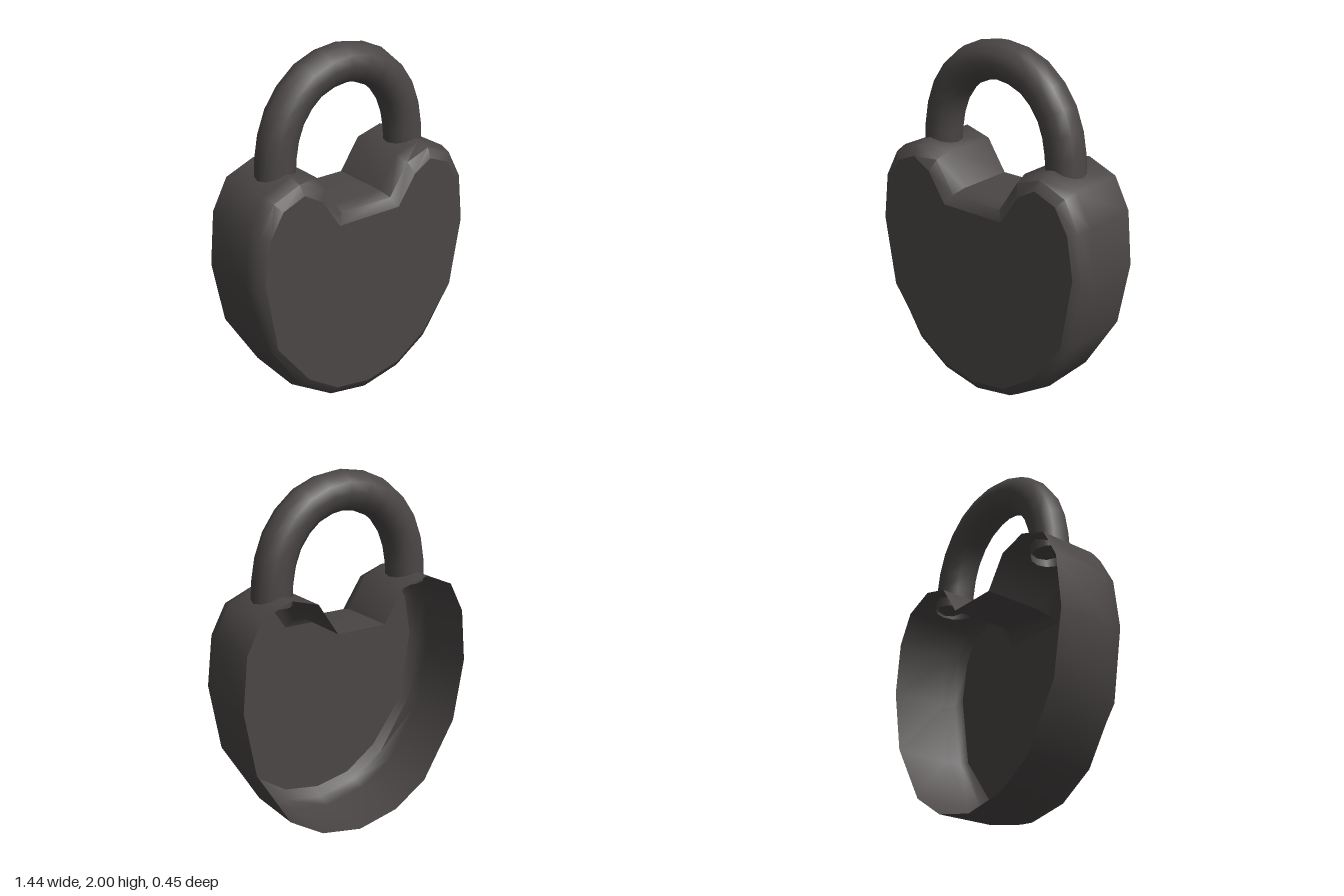
import * as THREE from 'three';
import { toCreasedNormals } from 'three/addons/utils/BufferGeometryUtils.js';

const metal = new THREE.MeshStandardMaterial({ color: 0x4a4645, side: THREE.DoubleSide });

// Half outlines [x, y] from the bottom centre up the left side to the notch
const OUTER = [[0, 0], [0.25, 0.05], [0.455, 0.18], [0.655, 0.51], [0.72, 0.87], [0.69, 1.17],
  [0.6, 1.34], [0.43, 1.41], [0.27, 1.365], [0.15, 1.185]];
const INNER = [[0, 0.08], [0.22, 0.12], [0.41, 0.25], [0.605, 0.51], [0.67, 0.92], [0.63, 1.15],
  [0.55, 1.285], [0.42, 1.337], [0.31, 1.275], [0.2, 1.11]];

// Closed counter-clockwise outline from one half
function mirrored(half) {
  return [...half, ...half.slice(1).reverse().map(([x, y]) => [-x, y])];
}

// Outline part of the way from OUTER to INNER
function inset(t) {
  return mirrored(OUTER.map(([x, y], i) => [x + (INNER[i][0] - x) * t, y + (INNER[i][1] - y) * t]));
}

// Skin over closed outlines stacked along z
function loft(rings) {
  const n = rings[0].points.length;
  const positions = rings.flatMap(({ points, z }) => points.flatMap(([x, y]) => [x, y, z]));
  const index = [];
  for (let r = 0; r < rings.length - 1; r++) {
    for (let j = 0; j < n; j++) {
      const a = r * n + j, b = r * n + (j + 1) % n;
      index.push(a, b, b + n, a, b + n, a + n);
    }
  }
  const geometry = new THREE.BufferGeometry();
  geometry.setAttribute('position', new THREE.Float32BufferAttribute(positions, 3));
  geometry.setIndex(index);
  return toCreasedNormals(geometry, 0.85);
}

function addMesh(parent, name, geometry) {
  const mesh = new THREE.Mesh(geometry, metal);
  mesh.name = name;
  parent.add(mesh);
  return mesh;
}

export function createModel() {
  const model = new THREE.Group();
  model.name = 'padlock';

  // Body: hollow shell, open at the back, with a rounded front rim
  const body = new THREE.Group();
  body.name = 'body';
  model.add(body);
  addMesh(body, 'bodyWall', loft([
    { points: inset(0), z: -0.222 },
    { points: inset(0), z: 0.115 },
    { points: inset(0.3), z: 0.192 },
    { points: inset(1), z: 0.225 },
  ]));
  const plate = new THREE.Shape(inset(1).map(([x, y]) => new THREE.Vector2(x, y)));
  addMesh(body, 'frontPlate', new THREE.ShapeGeometry(plate)).position.z = 0.225;

  // Shackle: open-ended tube whose legs sink into the shoulders
  const leg = [[0.43, 1.345], [0.418, 1.5], [0.378, 1.64], [0.32, 1.735], [0.235, 1.82], [0.12, 1.874]];
  const path = [...leg, [0, 1.893], ...leg.slice().reverse().map(([x, y]) => [-x, y])]
    .map(([x, y]) => new THREE.Vector3(x, y, -0.024));
  addMesh(model, 'shackle', new THREE.TubeGeometry(new THREE.CatmullRomCurve3(path), 14, 0.108, 12));

  return model;
}
